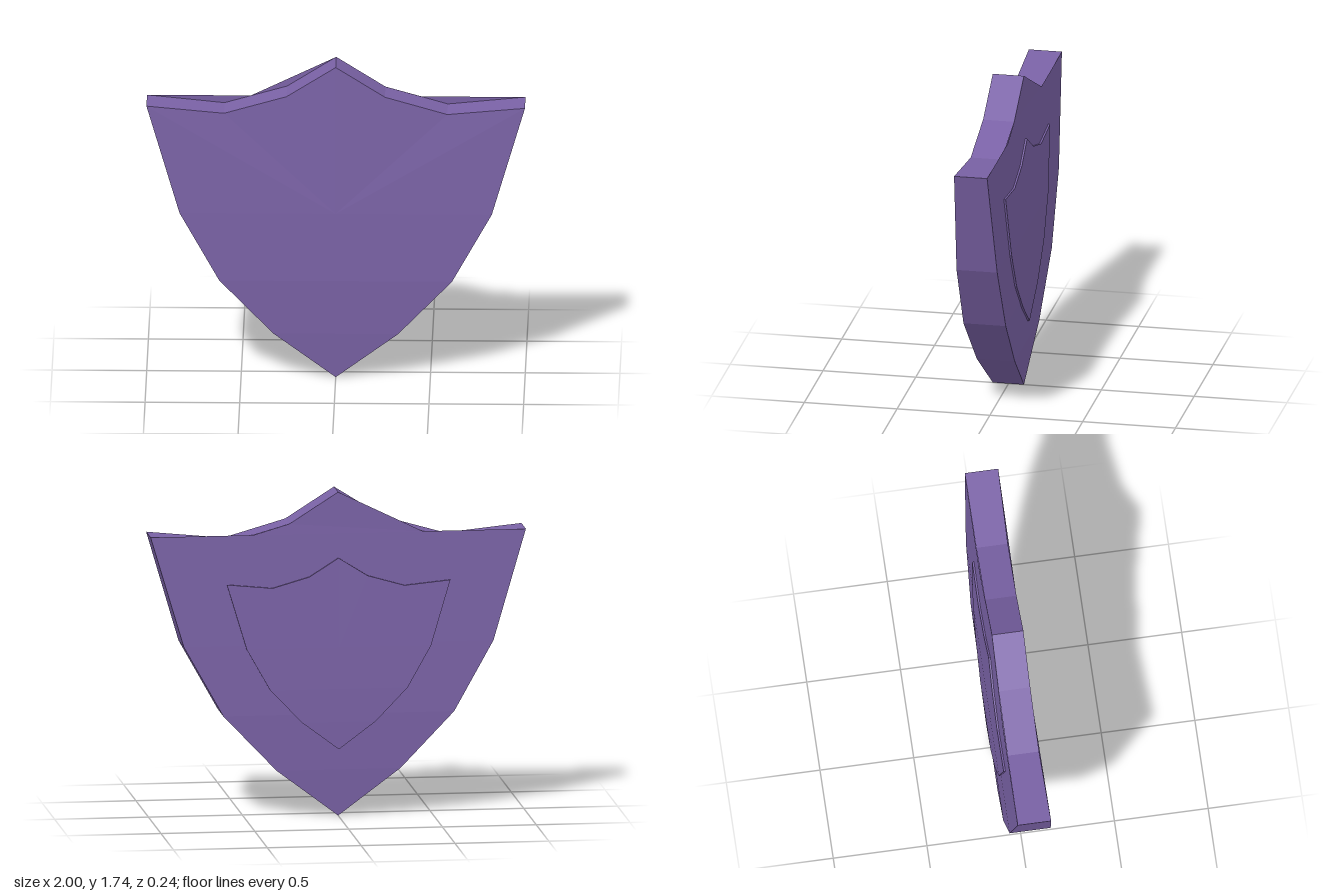
import * as THREE from 'three';

// Right half of the outline, bottom tip to top peak
const HALF = [[0, 0], [0.33, 0.25], [0.615, 0.55], [0.825, 0.925],
  [1, 1.515], [0.59, 1.475], [0.26, 1.57], [0, 1.735]];
const CORNER = 4;

// Gentle bulge of the faces: piecewise linear depth by height
const BULGE_Y = [0, 0.25, 0.55, 0.925, 1.515];
function depth(y, values) {
  for (let i = 1; i < BULGE_Y.length; i++) {
    if (y <= BULGE_Y[i]) {
      const t = (y - BULGE_Y[i - 1]) / (BULGE_Y[i] - BULGE_Y[i - 1]);
      return THREE.MathUtils.lerp(values[i - 1], values[i], t);
    }
  }
  return 0.083;
}
const frontZ = (y) => depth(y, [0.085, 0.105, 0.119, 0.114, 0.092]);
const backZ = (y) => -depth(y, [0.083, 0.1, 0.109, 0.105, 0.086]);

const material = new THREE.MeshStandardMaterial({
  color: 0x7a62a6, flatShading: true, side: THREE.DoubleSide,
});

// Shield-shaped slab; straightTop draws the back straight from corner to corner
function shieldPlate(name, half, zFront, zBack, straightTop) {
  const pos = [];
  const polygon = (pts, flip) => {
    for (let i = 1; i < pts.length - 1; i++) {
      const tri = flip ? [pts[0], pts[i + 1], pts[i]] : [pts[0], pts[i], pts[i + 1]];
      tri.forEach((p) => pos.push(...p));
    }
  };
  const mirror = ([x, y]) => [-x, y];

  // Faces: horizontal rows below, a fan to the notched top above
  const addFace = (zOf, flip, flatTop) => {
    const at = ([x, y], i) => [x, y, zOf(y, i)];
    const p = half.map(at);
    const m = half.map((q, i) => at(mirror(q), i));
    const rows = flatTop ? CORNER : CORNER - 1;
    for (let i = 0; i < rows; i++) polygon([m[i], p[i], p[i + 1], m[i + 1]], flip);
    if (flatTop) {
      // Peak rising above the straight edge
      const [cx, cy, cz] = p[CORNER];
      const [d, s] = [p[CORNER + 1], p[CORNER + 2]];
      const x = THREE.MathUtils.lerp(d[0], s[0], (cy - d[1]) / (s[1] - d[1]));
      polygon([[-x, cy, cz], [x, cy, cz], s, p[7], m[6]], flip);
    } else {
      const centre = [0, p[CORNER - 1][1], p[CORNER - 1][2]];
      polygon([centre, ...p.slice(CORNER - 1), ...m.slice(CORNER - 1, -1).reverse()], flip);
    }
  };
  addFace(zFront, false, false);
  addFace(zBack, true, straightTop);

  // Rim around the whole outline
  const loop = half.map((p, i) => [p, i]);
  for (let i = half.length - 2; i > 0; i--) loop.push([mirror(half[i]), i]);
  loop.forEach(([a, ia], k) => {
    const [b, ib] = loop[(k + 1) % loop.length];
    polygon([[...a, zFront(a[1], ia)], [...a, zBack(a[1], ia)],
      [...b, zBack(b[1], ib)], [...b, zFront(b[1], ib)]], false);
  });

  const geometry = new THREE.BufferGeometry();
  geometry.setAttribute('position', new THREE.Float32BufferAttribute(pos, 3));
  geometry.computeVertexNormals();
  const mesh = new THREE.Mesh(geometry, material);
  mesh.name = name;
  return mesh;
}

export function createModel() {
  const group = new THREE.Group();
  group.name = 'shield';

  // Main body, its top notches thinner than the belly
  group.add(shieldPlate('shieldBody', HALF,
    (y, i) => (i > CORNER ? 0.085 : frontZ(y)),
    (y, i) => (i > CORNER ? -0.083 : backZ(y)), true));

  // Raised smaller shield on the back
  const small = HALF.map(([x, y]) => [x * 0.595, 0.36 + y * 0.59]);
  group.add(shieldPlate('backPanel', small, () => -0.07, (y) => backZ(y) - 0.01, false));
  return group;
}
